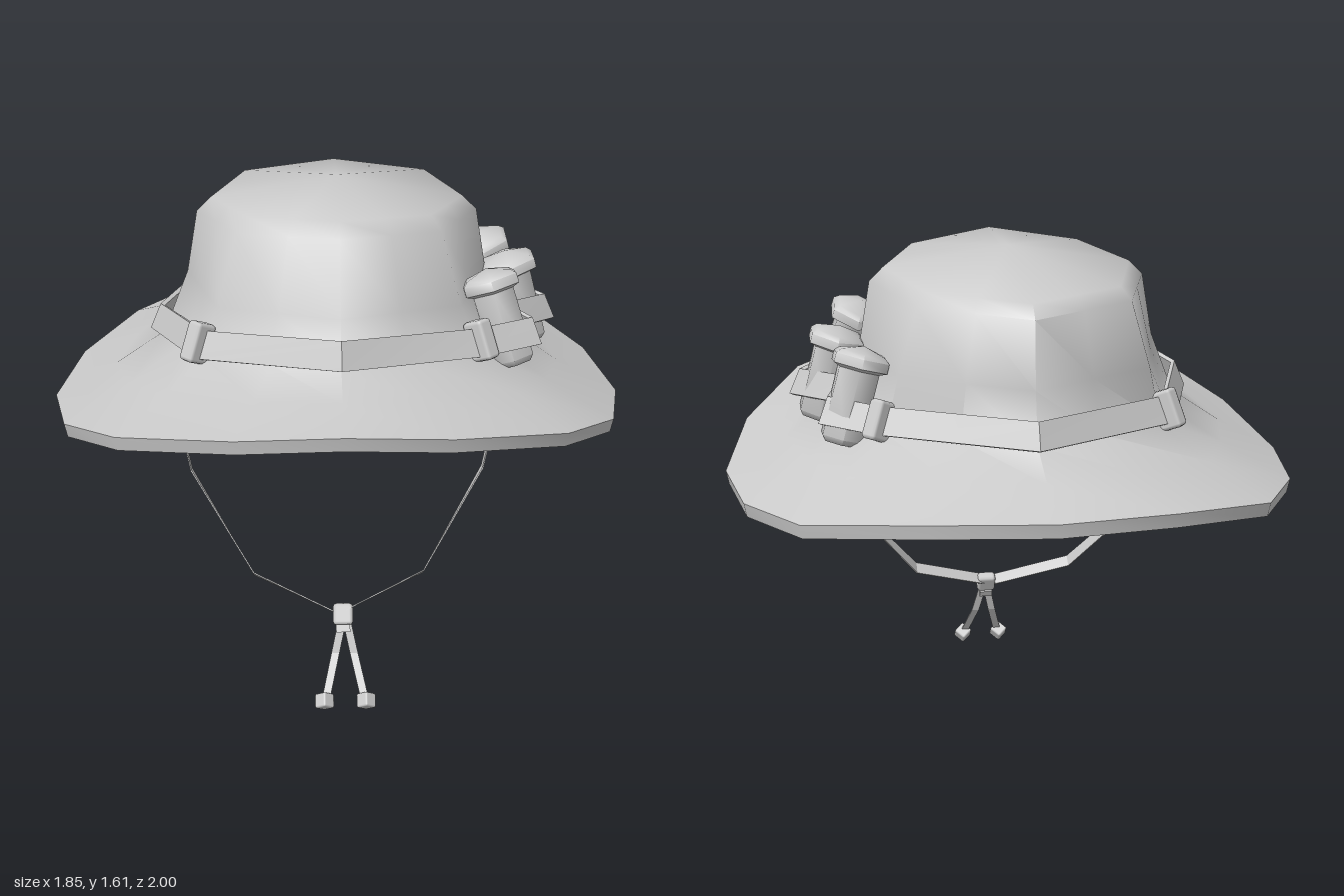
import * as THREE from 'three';
import { toCreasedNormals } from 'three/addons/utils/BufferGeometryUtils.js';
import { RoundedBoxGeometry } from 'three/addons/geometries/RoundedBoxGeometry.js';

const V = (p) => new THREE.Vector3(...p);
const material = new THREE.MeshStandardMaterial({ color: 0xcccccc });

function addMesh(parent, name, geometry) {
  const mesh = new THREE.Mesh(geometry, material);
  mesh.name = name;
  parent.add(mesh);
  return mesh;
}

// Skin a list of equal-sized point loops
function loft(loops, { closed = false, caps = false, crease = 0.5 } = {}) {
  const n = loops[0].length, m = loops.length, pos = [];
  const tri = (a, b, c) => {
    if (a.distanceTo(b) < 1e-5 || b.distanceTo(c) < 1e-5 || a.distanceTo(c) < 1e-5) return;
    for (const p of [a, b, c]) pos.push(p.x, p.y, p.z);
  };
  const quad = (a, b, c, d) => { tri(a, b, c); tri(a, c, d); };
  for (let j = 0; j < (closed ? m : m - 1); j++) {
    const a = loops[j], b = loops[(j + 1) % m];
    for (let k = 0; k < n; k++) quad(a[k], b[k], b[(k + 1) % n], a[(k + 1) % n]);
  }
  if (caps) {
    quad(...loops[0]);
    quad(...[...loops[m - 1]].reverse());
  }
  const g = new THREE.BufferGeometry();
  g.setAttribute('position', new THREE.Float32BufferAttribute(pos, 3));
  return toCreasedNormals(g, crease);
}

// Flat strap between a lower and an upper line of points
function strap(lows, highs, thickness, closed = false) {
  const m = lows.length;
  const at = (j) => lows[closed ? (j + m) % m : Math.min(Math.max(j, 0), m - 1)];
  const loops = lows.map((low, j) => {
    const high = highs[j];
    const t = at(j + 1).clone().sub(at(j - 1));
    const n = t.cross(high.clone().sub(low)).normalize().multiplyScalar(thickness);
    return [low.clone().add(n), high.clone().add(n), high, low];
  });
  return loft(loops, { closed, caps: !closed, crease: 0.3 });
}

// Half outline, front to back, mirrored into a full ring
const mirrorRing = (half) => [...half, ...half.slice(1, -1).reverse().map((p) => V([-p.x, p.y, p.z]))];

// Eight-sided crown ring with a midpoint on every side
function crownRing(points) {
  const half = [];
  points.map(V).forEach((p, i, all) => {
    if (i) half.push(all[i - 1].clone().lerp(p, 0.5));
    half.push(p);
  });
  return mirrorRing(half);
}

// Crown with brim and underside, plus the lining inside the crown
function addHatShell(parent) {
  const apex = Array.from({ length: 16 }, () => V([0, 1.61, -0.02]));
  const top = crownRing([[0, 1.595, 0.42], [0.28, 1.57, 0.28], [0.4, 1.545, 0], [0.3, 1.53, -0.35], [0, 1.52, -0.52]]);
  const shoulder = crownRing([[0, 1.555, 0.47], [0.31, 1.53, 0.32], [0.445, 1.5, 0], [0.33, 1.49, -0.375], [0, 1.48, -0.565]]);
  const waist = crownRing([[0, 1.34, 0.555], [0.37, 1.31, 0.37], [0.48, 1.3, 0], [0.39, 1.28, -0.38], [0, 1.27, -0.58]]);
  const base = crownRing([[0, 1.205, 0.63], [0.42, 1.16, 0.4], [0.56, 1.1, 0.02], [0.43, 1.1, -0.37], [0, 1.11, -0.62]]);
  const edge = mirrorRing([[0, 1.16, 1], [0.31, 1.13, 0.95], [0.66, 1.05, 0.74], [0.85, 0.95, 0.42], [0.925, 0.88, 0.03],
    [0.87, 0.885, -0.34], [0.71, 0.915, -0.66], [0.36, 0.985, -0.925], [0, 0.995, -1]].map(V));
  const brim = base.map((p, i) => p.clone().lerp(edge[i], 0.45).add(V([0, -0.012, 0])));
  const inset = (ring, s, drop) => ring.map((p) => V([p.x * s, p.y - drop, p.z * s]));
  const opening = inset(base, 0.97, 0.07);
  addMesh(parent, 'crownAndBrim', loft([apex, top, shoulder, waist, base, brim, edge,
    inset(edge, 0.99, 0.045), inset(brim, 0.98, 0.055), opening], { crease: 1.02 }));
  addMesh(parent, 'crownLining', loft([opening, inset(waist, 0.94, 0.03),
    inset(shoulder, 0.92, 0.03), inset(apex, 1, 0.05)], { crease: 1.2 }));
}

export function createModel() {
  const model = new THREE.Group();
  model.name = 'hat';
  addHatShell(model);

  // Hat band, zigzagging over the canisters on the left
  const bandLow = [[0, 1.22, 0.67], [0.43, 1.165, 0.43],
    [0.61, 1.175, 0.36], [0.55, 1.155, 0.17], [0.695, 1.13, 0.02], [0.57, 1.14, -0.13], [0.62, 1.115, -0.3],
    [0.46, 1.1, -0.39], [0, 1.105, -0.66], [-0.46, 1.1, -0.39], [-0.59, 1.11, 0.03], [-0.43, 1.165, 0.43]].map(V);
  const bandHigh = bandLow.map((p) => {
    const inward = V([-p.x, 0, -p.z]).normalize().multiplyScalar(0.035);
    return p.clone().add(inward).add(V([0, 0.082, 0]));
  });
  addMesh(model, 'hatBand', strap(bandLow, bandHigh, 0.015, true));

  // Band clips
  for (const s of [1, -1]) {
    for (const [x, y, z] of [[0.43, 1.215, 0.415], [0.45, 1.145, -0.385]]) {
      const clip = addMesh(model, 'bandClip', new RoundedBoxGeometry(0.055, 0.125, 0.075, 1, 0.012));
      clip.position.set(s * x, y, z);
      clip.rotation.set(-0.4, Math.atan2(s * x, z), 0, 'YXZ');
    }
  }

  // Capped canisters tucked under the band
  const profile = [[0, 0], [0.058, 0], [0.073, 0.018], [0.073, 0.235], [0.097, 0.245], [0.097, 0.275], [0.08, 0.29], [0, 0.31]];
  const canisterGeometry = toCreasedNormals(
    new THREE.LatheGeometry(profile.map(([r, y]) => new THREE.Vector2(r, y)), 6), 1.1);
  const axes = [
    [[0.545, 1.1, 0.325], [0.455, 1.385, 0.25]],
    [[0.62, 1.06, 0.01], [0.54, 1.365, 0]],
    [[0.565, 1.05, -0.285], [0.485, 1.33, -0.245]],
  ];
  for (const [bottom, top] of axes) {
    const canister = addMesh(model, 'canister', canisterGeometry);
    canister.position.set(...bottom);
    canister.quaternion.setFromUnitVectors(V([0, 1, 0]), V(top).sub(V(bottom)).normalize());
  }

  // Chin strap, cords and their tips
  const strapPath = [[0.55, 1.03, 0.13], [0.478, 0.665, 0.16], [0.275, 0.385, 0.36], [0.02, 0.295, 0.45]];
  const strapWidth = [[0, 0, 0.023], [0, 0.006, 0.022], [0, 0.013, 0.018], [0, 0.012, 0.02]];
  const cordPath = [[0.01, 0.25, 0.46], [0.03, 0.16, 0.49], [0.06, 0.05, 0.57]];
  for (const s of [1, -1]) {
    const side = (p) => V([s * p[0], p[1], p[2]]);
    const shift = (sign) => strapPath.map((p, i) => side(p).addScaledVector(V(strapWidth[i]), sign));
    addMesh(model, 'chinStrap', strap(shift(-1), shift(1), 0.004));

    const cord = cordPath.map((p) => side(p).add(V([0.015, 0, 0])));
    const cordEdge = (dx) => cord.map((p) => p.clone().add(V([dx, 0, 0])));
    addMesh(model, 'cord', strap(cordEdge(-0.013), cordEdge(0.013), 0.004));

    const tip = addMesh(model, 'cordTip', new RoundedBoxGeometry(0.046, 0.046, 0.046, 1, 0.006));
    tip.position.set(0.015 + s * 0.067, 0.037, 0.58);
    tip.rotation.set(Math.PI / 4, 0, Math.PI / 4);
  }

  // Sliding toggle that gathers the straps
  const toggle = new THREE.Group();
  toggle.name = 'toggle';
  toggle.position.set(0.01, 0.285, 0.455);
  toggle.rotation.x = -0.5;
  addMesh(toggle, 'toggleBody', new RoundedBoxGeometry(0.065, 0.07, 0.04, 1, 0.012));
  addMesh(toggle, 'toggleCollar', new THREE.BoxGeometry(0.045, 0.025, 0.045)).position.y = -0.045;
  model.add(toggle);

  return model;
}
